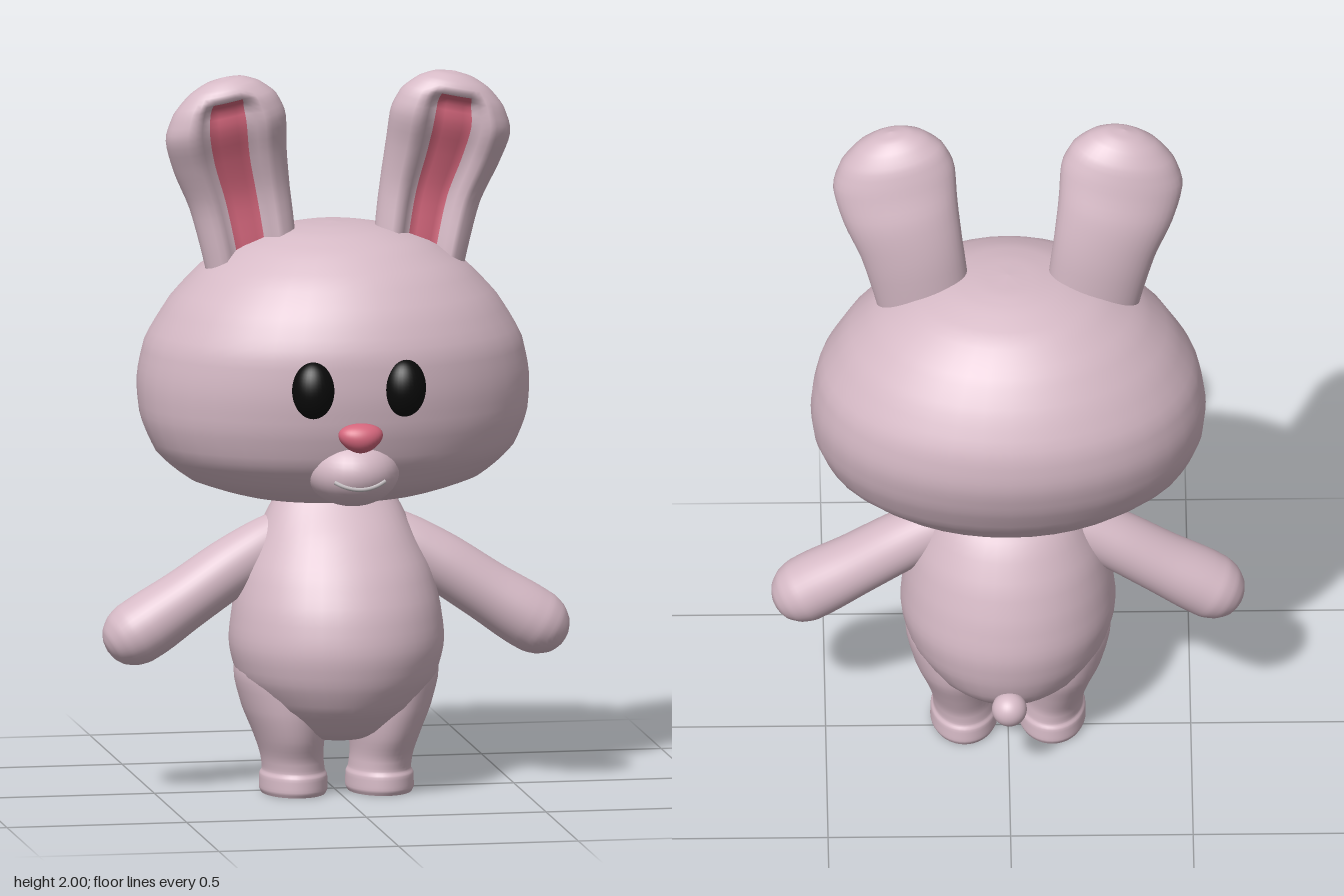
import * as THREE from 'three';

const mat = (name, color) => Object.assign(new THREE.MeshStandardMaterial({ color }), { name });

// Smooth loft through elliptical sections [x, y, z, halfWidth, halfDepth].
// lean turns the width axis of each ring in the xy plane.
// shape(row, seg, rows) may return { push, painted } to dent or recolour the surface.
function loft(sections, { lean = 0, segs = 40, mirror = 1, shape = null } = {}) {
  const centre = new THREE.CatmullRomCurve3(sections.map(s => new THREE.Vector3(s[0], s[1], s[2])));
  const radius = new THREE.CatmullRomCurve3(sections.map(s => new THREE.Vector3(s[3], s[4], 0)));
  const rows = (sections.length - 1) * 4;
  const pos = [], plain = [], painted = [];
  for (let i = 0; i <= rows; i++) {
    const c = centre.getPoint(i / rows), r = radius.getPoint(i / rows);
    for (let j = 0; j < segs; j++) {
      const t = (j / segs) * Math.PI * 2;
      const u = Math.max(r.x, 0) * Math.cos(t);
      const push = shape ? shape(i, j, rows).push : 0;
      pos.push(mirror * (c.x + u * Math.cos(lean)), c.y + u * Math.sin(lean),
        c.z + Math.max(r.y, 0) * Math.sin(t) - push);
      if (i === rows) continue;
      const k = (j + 1) % segs;
      const a = i * segs + j, b = a + segs, d = i * segs + k, e = d + segs;
      const list = shape && shape(i, j, rows).painted ? painted : plain;
      if (mirror > 0) list.push(a, b, d, b, e, d);
      else list.push(a, d, b, b, d, e);
    }
  }
  const g = new THREE.BufferGeometry();
  g.setAttribute('position', new THREE.Float32BufferAttribute(pos, 3));
  g.setIndex([...plain, ...painted]);
  if (shape) {
    g.addGroup(0, plain.length, 0);
    g.addGroup(plain.length, painted.length, 1);
  }
  g.computeVertexNormals();
  return g;
}

// Section given by height, half width, front z and back z
const slice = ([y, w, front, back]) => [0, y, (front + back) / 2, w, (front - back) / 2];

export function createModel() {
  const model = new THREE.Group();
  model.name = 'rabbit';
  const fur = mat('fur', 0xd6bac6);
  const pink = mat('pink', 0xd4667c);
  const black = mat('black', 0x0a0a0a);
  const lip = mat('lip', 0xc4bec1);

  const add = (name, geometry, material) => {
    const mesh = new THREE.Mesh(geometry, material);
    mesh.name = name;
    model.add(mesh);
    return mesh;
  };
  const ball = (name, material, [x, y, z], [rx, ry, rz]) => {
    const mesh = add(name, new THREE.SphereGeometry(1, 32, 24).scale(rx, ry, rz), material);
    mesh.position.set(x, y, z);
    return mesh;
  };

  // Wide head with a flattened underside
  add('head', loft([
    [0.8, 0, -0.05, -0.05], [0.803, 0.13, 0.05, -0.13], [0.822, 0.25, 0.18, -0.2],
    [0.87, 0.4, 0.29, -0.29], [0.95, 0.495, 0.36, -0.365], [1.05, 0.535, 0.395, -0.42],
    [1.15, 0.54, 0.41, -0.45], [1.25, 0.52, 0.41, -0.447], [1.36, 0.455, 0.37, -0.4],
    [1.45, 0.37, 0.305, -0.335], [1.52, 0.265, 0.22, -0.25], [1.555, 0.165, 0.135, -0.16],
    [1.568, 0.08, 0.06, -0.1], [1.572, 0, -0.02, -0.02],
  ].map(slice)), fur);

  // Pear-shaped body
  add('body', loft([
    [0.148, 0, 0.06, 0.06], [0.155, 0.08, 0.14, -0.04], [0.18, 0.145, 0.2, -0.14],
    [0.25, 0.222, 0.28, -0.225], [0.33, 0.275, 0.32, -0.255], [0.42, 0.295, 0.335, -0.265],
    [0.52, 0.285, 0.317, -0.25], [0.62, 0.26, 0.27, -0.22], [0.72, 0.215, 0.2, -0.17],
    [0.81, 0.17, 0.12, -0.1], [0.88, 0.12, 0.07, -0.07],
  ].map(slice)), fur);

  // Muzzle, nose and mouth
  const mc = [0, 0.93, 0.28], mr = [0.13, 0.1, 0.145];
  ball('muzzle', fur, mc, mr);
  const nose = ball('nose', pink, [0, 1.037, 0.412], [0.06, 0.041, 0.043]);
  const np = nose.geometry.attributes.position;
  for (let i = 0; i < np.count; i++) np.setX(i, np.getX(i) * (1 + 6 * np.getY(i)));
  nose.geometry.computeVertexNormals();

  const smile = [];
  for (let i = -4; i <= 4; i++) {
    const x = i * 0.0175, y = 0.895 + 4 * x * x;
    const k = 1 - (x / mr[0]) ** 2 - ((y - mc[1]) / mr[1]) ** 2;
    smile.push(new THREE.Vector3(x, y, mc[2] + mr[2] * Math.sqrt(k)));
  }
  add('mouth', new THREE.TubeGeometry(new THREE.CatmullRomCurve3(smile), 24, 0.006, 8), lip);

  // Round tail
  ball('tail', fur, [0, 0.248, -0.252], [0.048, 0.048, 0.048]);

  // Groove down the front of each ear, painted along its floor
  const earShape = (row, seg, rows) => {
    const end = rows * 0.63;
    const along = THREE.MathUtils.clamp((end + 2 - row) / 3, 0, 1);
    const across = THREE.MathUtils.clamp((4 - Math.abs(seg - 10)) / 2, 0, 1);
    return { push: 0.05 * along * across, painted: row < end && seg >= 8 && seg < 12 };
  };

  for (const mirror of [1, -1]) {
    const side = mirror > 0 ? 'left' : 'right';

    const eye = ball(side + 'Eye', black, [mirror * 0.127, 1.17, 0.386], [0.059, 0.08, 0.056]);
    eye.rotation.y = mirror * 0.12;

    add(side + 'Ear', loft([
      [0.225, 1.42, 0.015, 0.125, 0.075], [0.24, 1.52, 0.012, 0.132, 0.08],
      [0.265, 1.65, 0.01, 0.142, 0.082], [0.295, 1.76, 0.03, 0.16, 0.092],
      [0.312, 1.85, 0.06, 0.17, 0.097], [0.317, 1.92, 0.07, 0.145, 0.087],
      [0.32, 1.965, 0.075, 0.098, 0.062], [0.32, 1.987, 0.077, 0.052, 0.034],
      [0.32, 1.995, 0.078, 0, 0],
    ], { lean: -0.2, mirror, shape: earShape }), [fur, pink]);

    // Arm with a rounded hand, angled down and outward
    add(side + 'Arm', loft([
      [0.1, 0.735, 0.01, 0.065, 0.055], [0.2, 0.68, 0.015, 0.077, 0.075],
      [0.3, 0.62, 0.02, 0.082, 0.085], [0.42, 0.54, 0.025, 0.084, 0.09],
      [0.52, 0.475, 0.03, 0.09, 0.095], [0.56, 0.45, 0.03, 0.089, 0.094],
      [0.593, 0.43, 0.03, 0.078, 0.083], [0.619, 0.414, 0.03, 0.055, 0.06],
      [0.632, 0.406, 0.03, 0.028, 0.03], [0.636, 0.404, 0.03, 0, 0],
    ], { lean: Math.atan2(-0.85, -0.52), mirror }), fur);

    // Leg rising from a slightly flared foot
    add(side + 'Leg', loft([
      [0.12, 0, 0.035, 0.087, 0.123], [0.12, 0.015, 0.035, 0.093, 0.13],
      [0.12, 0.05, 0.035, 0.092, 0.129], [0.12, 0.066, 0.035, 0.085, 0.121],
      [0.124, 0.1, 0.036, 0.085, 0.125], [0.132, 0.16, 0.037, 0.096, 0.15],
      [0.142, 0.24, 0.03, 0.118, 0.175], [0.15, 0.34, 0.03, 0.132, 0.18],
      [0.14, 0.44, 0.03, 0.1, 0.15],
    ], { mirror }), fur);
    const sole = add(side + 'Sole',
      new THREE.CircleGeometry(1, 40).scale(0.087, 0.123, 1).rotateX(Math.PI / 2), fur);
    sole.position.set(mirror * 0.12, 0, 0.035);
  }
  return model;
}
